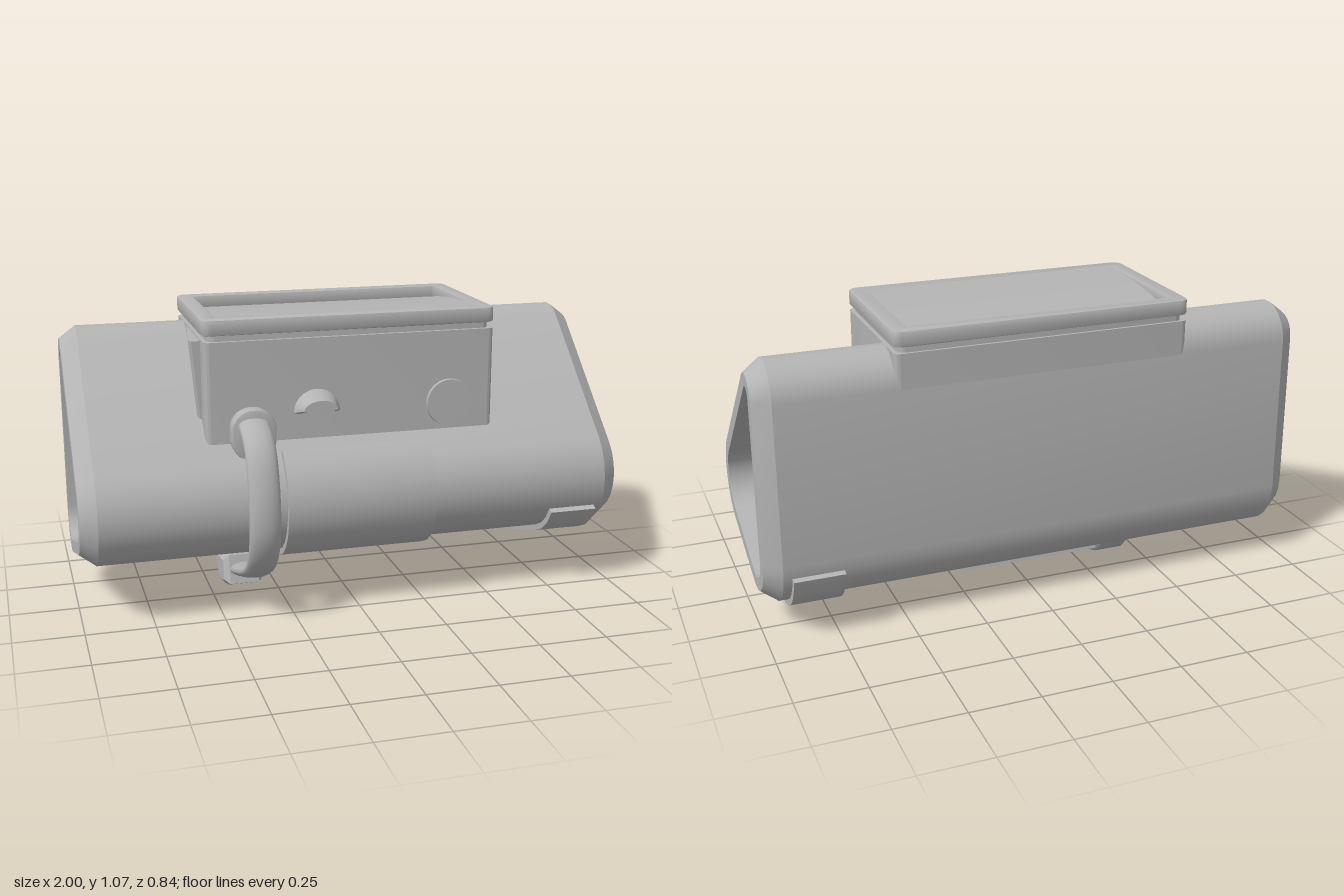
import * as THREE from 'three';
import { toCreasedNormals } from 'three/addons/utils/BufferGeometryUtils.js';

const grey = new THREE.MeshStandardMaterial({ color: 0xb4b4b4 });
grey.name = 'grey';
const greyThin = grey.clone();
greyThin.side = THREE.DoubleSide;
greyThin.name = 'grey thin';

// Rounded triangle: corner circles as [z, y, radius], joined by tangents
const corners = [[-0.28, 0.875, 0.125], [-0.22, 0.3, 0.192], [0.095, 0.42, 0.21]];
const STEPS = 8;

function tangentAngle(a, b) {
  const dz = b[0] - a[0], dy = b[1] - a[1];
  return Math.atan2(dy, dz) - Math.acos((a[2] - b[2]) / Math.hypot(dz, dy));
}

function profile(inset) {
  const pts = [];
  corners.forEach((c, i) => {
    const start = tangentAngle(corners[(i + 2) % 3], c);
    let end = tangentAngle(c, corners[(i + 1) % 3]);
    while (end < start) end += Math.PI * 2;
    while (end - start > Math.PI * 2) end -= Math.PI * 2;
    for (let k = 0; k <= STEPS; k++) {
      const a = start + (end - start) * k / STEPS, r = c[2] - inset;
      pts.push(new THREE.Vector2(c[0] + r * Math.cos(a), c[1] + r * Math.sin(a)));
    }
  });
  return pts;
}

// Hollow body lofted from rings of [x, inset]
function bodyGeometry() {
  const rings = [[-0.94, 0], [0.94, 0], [1, 0.045], [1, 0.09], [-1, 0.09], [-1, 0.045], [-0.94, 0]];
  const pos = [], idx = [], n = 3 * (STEPS + 1);
  for (const [x, inset] of rings) for (const p of profile(inset)) pos.push(x, p.y, p.x);
  for (let i = 0; i < rings.length - 1; i++) {
    for (let j = 0; j < n; j++) {
      const k = (j + 1) % n, a = i * n, b = a + n;
      idx.push(a + j, b + j, b + k, a + j, b + k, a + k);
    }
  }
  const g = new THREE.BufferGeometry();
  g.setAttribute('position', new THREE.Float32BufferAttribute(pos, 3));
  g.setIndex(idx);
  return toCreasedNormals(g, 0.5);
}

// Extrude a (z, y) outline along x between two ends
function extrudeX(points, x0, x1, bevel = 0) {
  const g = new THREE.ExtrudeGeometry(new THREE.Shape(points), {
    depth: x1 - x0 - 2 * bevel, bevelEnabled: bevel > 0, bevelSize: bevel, bevelThickness: bevel,
    bevelOffset: -bevel, bevelSegments: 1,
  });
  g.rotateY(-Math.PI / 2).translate(x1 - bevel, 0, 0);
  return toCreasedNormals(g, 0.5);
}

// Strip wrapped round part of the body
function wrap(from, to, inner, outer, x0, x1, extend = 0) {
  const path = (off) => {
    const p = profile(-off), out = p.slice(from, to + 1);
    if (extend) out.push(p[to].clone().lerp(p[0], extend));
    return out;
  };
  return extrudeX([...path(outer), ...path(inner).reverse()], x0, x1);
}

function roundedRect(w, h, r) {
  const s = new THREE.Shape(), x = w / 2 - r, y = h / 2 - r;
  s.absarc(x, y, r, 0, Math.PI / 2);
  s.absarc(-x, y, r, Math.PI / 2, Math.PI);
  s.absarc(-x, -y, r, Math.PI, Math.PI * 1.5);
  s.absarc(x, -y, r, Math.PI * 1.5, Math.PI * 2);
  return s;
}

// Stand a plan shape upright between two heights
function slab(shape, y0, y1, bevel, cx, cz) {
  const g = new THREE.ExtrudeGeometry(shape, {
    depth: y1 - y0 - 2 * bevel, bevelEnabled: bevel > 0, bevelSize: bevel, bevelThickness: bevel,
    bevelOffset: -bevel, bevelSegments: 2, curveSegments: 6,
  });
  g.rotateX(-Math.PI / 2).translate(cx, y0 + bevel, cz);
  return toCreasedNormals(g, 0.5);
}

export function createModel() {
  const model = new THREE.Group();
  const add = (name, geometry, material = grey) => {
    const m = new THREE.Mesh(geometry, material);
    m.name = name;
    model.add(m);
    return m;
  };
  const v2 = (list) => list.map(([a, b]) => new THREE.Vector2(a, b));

  add('body', bodyGeometry());

  // Housing with neck, lid frame and dished lid panel
  add('housing', slab(roundedRect(1.07, 0.575, 0.02), 0.6, 1.0, 0, -0.005, -0.1175));
  add('neck', slab(roundedRect(1.04, 0.55, 0.03), 0.99, 1.03, 0, -0.005, -0.12));
  const lid = roundedRect(1.08, 0.58, 0.035);
  lid.holes.push(new THREE.Path(v2([[-0.48, -0.22], [-0.48, 0.235], [0.48, 0.235], [0.48, -0.22]])));
  add('lid', slab(lid, 1.022, 1.077, 0.006, -0.005, -0.12));
  const panel = new THREE.PlaneGeometry(0.98, 0.475, 1, 14).rotateX(-Math.PI / 2).translate(-0.005, 0, -0.1275);
  const pp = panel.attributes.position;
  for (let i = 0; i < pp.count; i++) {
    const t = (pp.getZ(i) + 0.365) / 0.475;
    pp.setY(i, 1.032 + 0.044 * (1 - (1 - t) ** 2));
  }
  panel.computeVertexNormals();
  add('lidPanel', panel, greyThin);

  // Round button on the housing front
  add('frontButton', new THREE.CylinderGeometry(0.085, 0.088, 0.02, 32).rotateX(Math.PI / 2).translate(0.36, 0.735, 0.172));

  // Crescent visor, shrinking as it comes forward
  const crescent = new THREE.Shape();
  crescent.absarc(0, 0, 0.087, 0, Math.PI);
  crescent.lineTo(-0.07, -0.005);
  crescent.quadraticCurveTo(-0.045, 0.042, 0, 0.042);
  crescent.quadraticCurveTo(0.045, 0.042, 0.07, -0.005);
  const visor = new THREE.ExtrudeGeometry(crescent, { depth: 0.07, bevelEnabled: false, curveSegments: 10 });
  const vp = visor.attributes.position;
  for (let i = 0; i < vp.count; i++) {
    if (vp.getZ(i) > 0.03) vp.setXY(i, vp.getX(i) * 0.7, 0.035 + (vp.getY(i) - 0.035) * 0.4);
  }
  visor.translate(-0.138, 0.73, 0.165);
  add('visor', toCreasedNormals(visor, 0.5));

  // Wedge tab on the side of the housing
  const wedge = new THREE.ExtrudeGeometry(
    new THREE.Shape(v2([[-0.53, 0.2], [-0.54, 0.2], [-0.578, -0.07], [-0.572, -0.1], [-0.53, -0.1]])),
    { depth: 0.28, bevelEnabled: false }).rotateX(-Math.PI / 2).translate(0, 0.715, 0);
  const wp = wedge.attributes.position;
  for (let i = 0; i < wp.count; i++) {
    if (wp.getX(i) < -0.55 && wp.getY(i) < 0.8) wp.setX(i, wp.getX(i) + 0.025);
  }
  add('sideTab', toCreasedNormals(wedge, 0.4));

  // Bands wrapped round the body
  add('frontBand', wrap(15, 26, -0.01, 0.022, -0.28, 0.27, 0.06));
  add('strap', wrap(10, 21, -0.005, 0.022, 0.73, 0.91));

  // Handle loop: flat oval tube in the y-z plane, with its two mounts
  const path = new THREE.CatmullRomCurve3([
    [0.19, 0.715], [0.235, 0.705], [0.29, 0.675], [0.335, 0.625], [0.372, 0.525], [0.385, 0.42],
    [0.376, 0.34], [0.335, 0.255], [0.26, 0.19], [0.1, 0.125], [-0.03, 0.085],
  ].map(([z, y]) => new THREE.Vector3(0, y, z)));
  const tube = new THREE.TubeGeometry(path, 32, 0.026, 16, false).scale(2.15, 1, 1).translate(-0.378, 0, 0);
  add('handle', tube);
  const mount = new THREE.ExtrudeGeometry(roundedRect(0.16, 0.185, 0.075), {
    depth: 0.06, bevelEnabled: true, bevelSize: 0.008, bevelThickness: 0.008, bevelOffset: -0.008, bevelSegments: 2,
  }).translate(-0.376, 0.672, 0.152);
  add('handleMount', toCreasedNormals(mount, 0.5));
  add('handleFoot', extrudeX(v2([
    [-0.02, 0.145], [-0.2, 0.115], [-0.215, 0.09], [-0.2, 0.068], [-0.155, 0.022],
    [-0.1, 0.003], [-0.025, 0.025], [0.005, 0.038],
  ]), -0.455, -0.305, 0.02));

  // Thin round pads inside both open ends
  for (const side of [-1, 1]) {
    add('innerPad', new THREE.CylinderGeometry(0.1, 0.1, 0.01, 28)
      .rotateX(Math.PI / 2).translate(side * 0.86, 0.36, -0.312));
  }
  return model;
}
